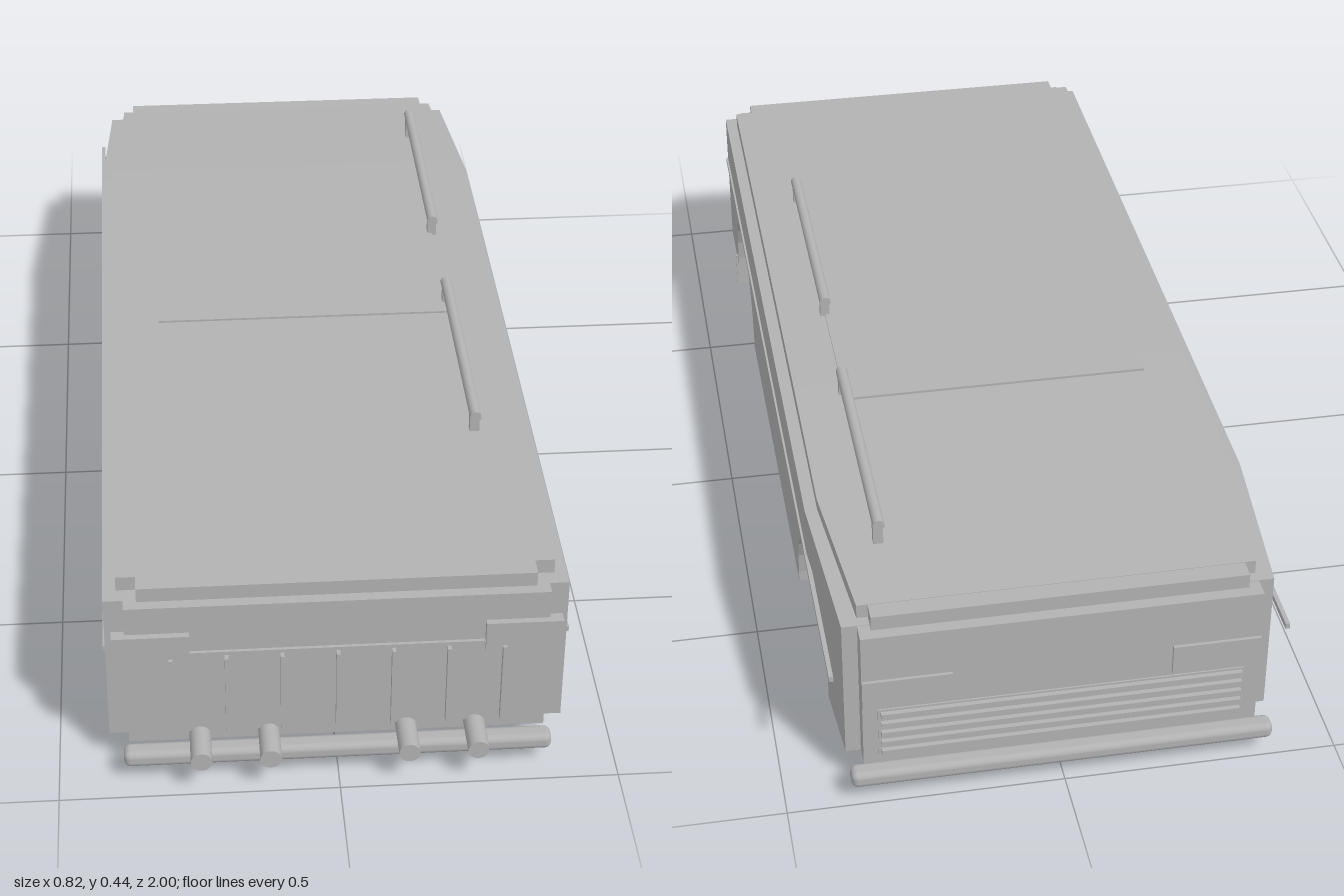
import * as THREE from 'three';
import { RoundedBoxGeometry } from 'three/addons/geometries/RoundedBoxGeometry.js';

const TAPER_Z = -0.605; // the sides draw in behind this line
const FLOOR = 0.06;

export function createModel() {
  const model = new THREE.Group();
  model.name = 'vehicleBody';
  const paint = new THREE.MeshStandardMaterial({ color: 0xb2b2b2 });
  paint.name = 'grey paint';

  function add(name, geometry) {
    const mesh = new THREE.Mesh(geometry, paint);
    mesh.name = name;
    model.add(mesh);
    return mesh;
  }

  // box given by its limits on each axis
  function box(name, x0, x1, y0, y1, z0, z1) {
    const mesh = add(name, new THREE.BoxGeometry(x1 - x0, y1 - y0, z1 - z0));
    mesh.position.set((x0 + x1) / 2, (y0 + y1) / 2, (z0 + z1) / 2);
    return mesh;
  }

  // side profile of [z, y] points, extruded from x0 to x1, narrowed toward the back
  function slab(name, profile, x0, x1, taper = 0) {
    const shape = new THREE.Shape(profile.map(([z, y]) => new THREE.Vector2(z, y)));
    const g = new THREE.ExtrudeGeometry(shape, { depth: x1 - x0, bevelEnabled: false });
    g.rotateY(-Math.PI / 2).translate(x1, 0, 0);
    const p = g.attributes.position;
    for (let i = 0; i < p.count; i++) {
      const x = p.getX(i);
      if (Math.abs(x) > 0.3) p.setX(i, x * (1 - taper * Math.max(0, TAPER_Z - p.getZ(i))));
    }
    g.computeVertexNormals();
    return add(name, g);
  }

  // wheel arch outline between two angles, in order of rising z
  function arch(zc, from, to) {
    const steps = Math.round((from - to) / (Math.PI / 12));
    const points = [];
    for (let i = 0; i <= steps; i++) {
      const a = from + (to - from) * i / steps;
      points.push([zc + 0.172 * Math.cos(a), 0.082 + 0.172 * Math.sin(a)]);
    }
    if (from === Math.PI) points.unshift([zc - 0.172, FLOOR]);
    if (to === 0) points.push([zc + 0.172, FLOOR]);
    return points;
  }

  // hull between the wheel wells, with narrower end faces
  slab('hull', [[0.9, FLOOR], [0.9, 0.36], [TAPER_Z, 0.36], [-0.93, 0.346], [-0.93, FLOOR]], -0.27, 0.27);
  box('frontFace', -0.373, 0.373, FLOOR, 0.36, 0.88, 0.92);
  box('backFace', -0.357, 0.357, FLOOR, 0.345, -0.962, -0.91);

  // flanks with wheel arches
  const mainFlank = [
    [0.895, FLOOR], [0.895, 0.36], [TAPER_Z, 0.36],
    ...arch(TAPER_Z, Math.PI / 2, 0), ...arch(0.567, Math.PI, 0),
  ];
  const backFlank = [
    [TAPER_Z, 0.36], [-0.925, 0.346], [-0.925, FLOOR], ...arch(TAPER_Z, Math.PI, Math.PI / 2),
  ];
  for (const [side, x0, x1] of [['left', 0.27, 0.408], ['right', -0.408, -0.27]]) {
    slab(side + 'Flank', mainFlank, x0, x1);
    slab(side + 'BackFlank', backFlank, x0, x1, 0.18);
  }

  // roof deck with stepped corners, sloping down to the back
  slab('roofDeck', [[0.865, 0.34], [0.865, 0.388], [-0.25, 0.388], [TAPER_Z, 0.383], [TAPER_Z, 0.34]], -0.385, 0.385);
  slab('roofDeckBack', [[TAPER_Z, 0.34], [TAPER_Z, 0.383], [-0.905, 0.374], [-0.905, 0.335]], -0.385, 0.385, 0.26);
  box('roofFrontLip', -0.35, 0.35, 0.35, 0.388, 0.86, 0.9);
  box('roofBackLip', -0.335, 0.335, 0.335, 0.373, -0.94, -0.9);
  box('roofHatch', -0.293, 0.293, 0.38, 0.392, -0.31, 0.04);

  // roof rails on posts
  for (const [z0, z1] of [[-0.757, -0.265], [-0.02, 0.472]]) {
    const rail = add('roofRail', new THREE.CylinderGeometry(0.011, 0.011, z1 - z0, 16));
    rail.rotation.x = Math.PI / 2;
    rail.position.set(0.293, 0.426, (z0 + z1) / 2);
    for (const z of [z0 + 0.018, z1 - 0.018]) {
      box('railPost', 0.284, 0.302, 0.37, 0.424, z - 0.008, z + 0.008);
    }
  }

  // side trim and mud flaps
  for (const s of [-1, 1]) {
    const trim = box('sideTrim', -0.004, 0.004, 0.25, 0.261, -0.952, 0.895);
    trim.position.x = s * 0.408;
    const flap = box('mudFlap', -0.036, 0.036, 0, 0.075, 0.759, 0.765);
    flap.position.x = s * 0.376;
  }

  // front panel, lamps and ribs
  box('frontPanel', -0.325, 0.325, 0.083, 0.262, 0.915, 0.926);
  for (const s of [-1, 1]) {
    const lamp = box('frontLamp', -0.068, 0.068, 0.245, 0.304, 0.91, 0.932);
    lamp.position.x = s * 0.328;
  }
  for (let i = -3; i <= 3; i++) {
    const x = i * 0.098;
    box('frontRib', x - 0.0035, x + 0.0035, 0.09, 0.255, 0.92, 0.938);
  }

  // back lamps and grille
  for (const s of [-1, 1]) {
    const lamp = box('backLamp', -0.08, 0.08, 0.19, 0.25, -0.968, -0.955);
    lamp.position.x = s * 0.277;
  }
  box('grillePanel', -0.33, 0.33, 0.08, 0.183, -0.965, -0.955);
  for (let i = 0; i < 5; i++) {
    const y = 0.09 + i * 0.021;
    box('grilleBar', -0.325, 0.325, y - 0.005, y + 0.005, -0.974, -0.96);
  }

  // bumpers
  for (const [name, z] of [['frontBumper', 0.945], ['backBumper', -0.98]]) {
    const bumper = add(name, new RoundedBoxGeometry(0.766, 0.032, 0.038, 3, 0.012));
    bumper.position.set(0, 0.05, z);
  }

  // four pipes over the front bumper
  for (const x of [-0.246, -0.123, 0.123, 0.246]) {
    const pipe = add('pipe', new THREE.CylinderGeometry(0.019, 0.019, 0.09, 24));
    pipe.rotation.x = Math.PI / 2;
    pipe.position.set(x, 0.074, 0.955);
  }

  return model;
}
